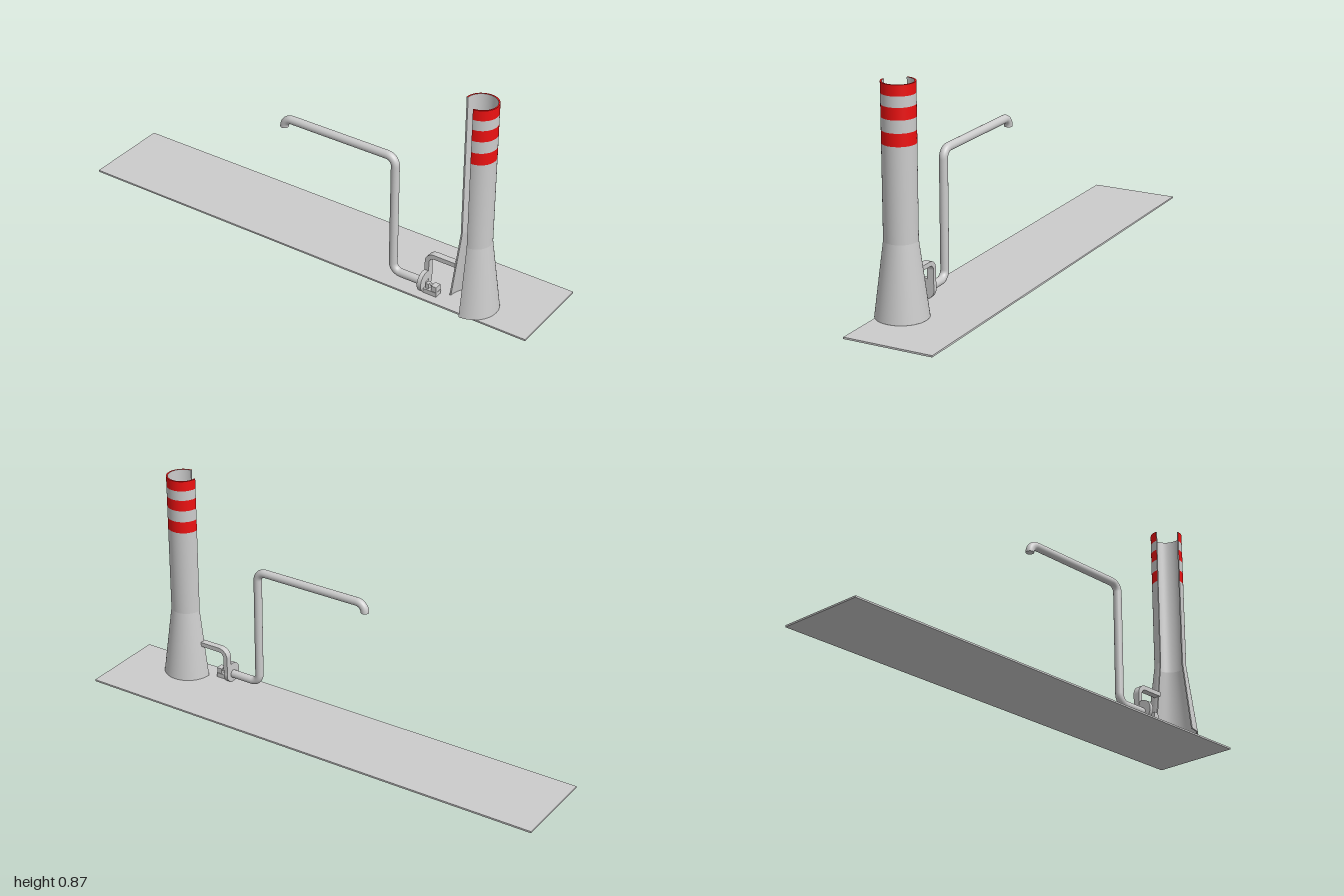
import * as THREE from 'three';

const material = (color = 0xcccccc) => new THREE.MeshStandardMaterial({ color, side: THREE.DoubleSide });
const grey = material();
const red = material(0xee1111);
const v = (x, y, z = 0) => new THREE.Vector3(x, y, z);

function add(parent, name, geometry, mat = grey, x = 0, y = 0, z = 0) {
  const mesh = new THREE.Mesh(geometry, mat);
  mesh.name = name;
  mesh.position.set(x, y, z);
  parent.add(mesh);
  return mesh;
}

const box = (parent, name, w, h, d, x, y, z) =>
  add(parent, name, new THREE.BoxGeometry(w, h, d), grey, x, y, z);

// Path through corner points, each inner corner rounded to the given radius
function roundedPath(points, radius) {
  const path = new THREE.CurvePath();
  let from = points[0];
  for (let i = 1; i < points.length - 1; i++) {
    const p = points[i];
    const back = points[i - 1].clone().sub(p).normalize();
    const on = points[i + 1].clone().sub(p).normalize();
    const a = p.clone().addScaledVector(back, radius);
    const b = p.clone().addScaledVector(on, radius);
    const k = radius * 0.448;
    path.add(new THREE.LineCurve3(from, a));
    path.add(new THREE.CubicBezierCurve3(a, p.clone().addScaledVector(back, k), p.clone().addScaledVector(on, k), b));
    from = b;
  }
  path.add(new THREE.LineCurve3(from, points[points.length - 1]));
  return path;
}

// Chimney with its front quarter (-x, +z) cut away to show the inside
function createChimney() {
  const chimney = new THREE.Group();
  chimney.name = 'chimney';
  const rBase = 0.1, rTop = 0.063, wall = 0.006;
  const y0 = 0.009, yNeck = 0.295, yTop = 0.873;

  // One straight-sided lathed skin covering three quarters of a turn
  const skin = (name, rA, yA, rB, yB, mat) => add(chimney, name,
    new THREE.LatheGeometry([new THREE.Vector2(rA, yA), new THREE.Vector2(rB, yB)], 48, 0, Math.PI * 1.5), mat);

  skin('flaredBase', rBase, y0, rTop, yNeck, grey);
  skin('innerFlare', rTop - wall, yNeck, rBase - wall, y0, grey);
  skin('innerShaft', rTop - wall, yTop, rTop - wall, yNeck, grey);
  skin('baseRim', rBase - wall, y0, rBase, y0, grey);
  skin('topRim', rTop, yTop, rTop - wall, yTop, red);

  // Outer shaft: grey and red stripes in turn
  const levels = [yNeck, 0.652, 0.7, 0.747, 0.792, 0.832, yTop];
  for (let i = 0; i < levels.length - 1; i++) {
    const striped = i % 2 === 1;
    skin(striped ? 'redStripe' : 'shaft', rTop, levels[i], rTop, levels[i + 1], striped ? red : grey);
  }

  // Wall thickness shown at the two cut edges
  const section = new THREE.Shape([
    [rBase - wall, y0], [rBase, y0], [rTop, yNeck], [rTop, yTop], [rTop - wall, yTop], [rTop - wall, yNeck],
  ].map(([x, y]) => new THREE.Vector2(x, y)));
  for (const turn of [-Math.PI / 2, Math.PI]) {
    add(chimney, 'cutEdge', new THREE.ShapeGeometry(section)).rotation.y = turn;
  }
  chimney.position.set(0.733, 0, 0.09);
  return chimney;
}

// Intake pipe: downturned mouth, long arm, drop and run to the fan
function createPipe() {
  const pipe = new THREE.Group();
  pipe.name = 'pipe';
  const radius = 0.0165;
  const path = roundedPath([v(-0.1, 0.5), v(-0.1, 0.537), v(0.396, 0.537), v(0.396, 0.04), v(0.53, 0.04)], 0.036);
  add(pipe, 'pipeRun', new THREE.TubeGeometry(path, 240, radius, 20));
  add(pipe, 'pipeMouth', new THREE.CircleGeometry(radius, 20), grey, -0.1, 0.5, 0).rotation.x = Math.PI / 2;
  pipe.position.z = 0.111;
  return pipe;
}

// Fan with round housing, motor and a flat duct to the chimney
function createFan() {
  const fan = new THREE.Group();
  fan.name = 'fan';
  const z = 0.111;
  add(fan, 'fanHousing', new THREE.CylinderGeometry(0.041, 0.041, 0.017, 32), grey, 0.535, 0.047, z).rotation.z = Math.PI / 2;
  add(fan, 'shaft', new THREE.CylinderGeometry(0.005, 0.005, 0.05, 12), grey, 0.565, 0.042, z).rotation.z = Math.PI / 2;
  box(fan, 'motorBed', 0.058, 0.018, 0.034, 0.571, 0.018, 0.116);
  box(fan, 'bearing', 0.012, 0.022, 0.02, 0.556, 0.037, 0.116);
  box(fan, 'motor', 0.022, 0.024, 0.03, 0.588, 0.038, 0.116);

  // Rectangular duct rising from the housing and bending to the chimney
  const duct = new THREE.Shape();
  const outer = 0.04, left = 0.526, top = 0.163, thick = 0.018;
  duct.moveTo(left, 0.045);
  duct.lineTo(left + thick, 0.045);
  duct.lineTo(left + thick, top - outer);
  duct.absarc(left + outer, top - outer, outer - thick, Math.PI, Math.PI / 2, true);
  duct.lineTo(0.656, top - thick);
  duct.lineTo(0.656, top);
  duct.lineTo(left + outer, top);
  duct.absarc(left + outer, top - outer, outer, Math.PI / 2, Math.PI, false);
  add(fan, 'duct', new THREE.ExtrudeGeometry(duct, { depth: 0.027, bevelEnabled: false, curveSegments: 10 }), grey, 0, 0, 0.071);
  return fan;
}

export function createModel() {
  const model = new THREE.Group();
  model.name = 'chimneyPlant';
  box(model, 'groundPlate', 2, 0.007, 0.358, 0, 0.0035, -0.012);
  model.add(createChimney(), createPipe(), createFan());
  return model;
}
